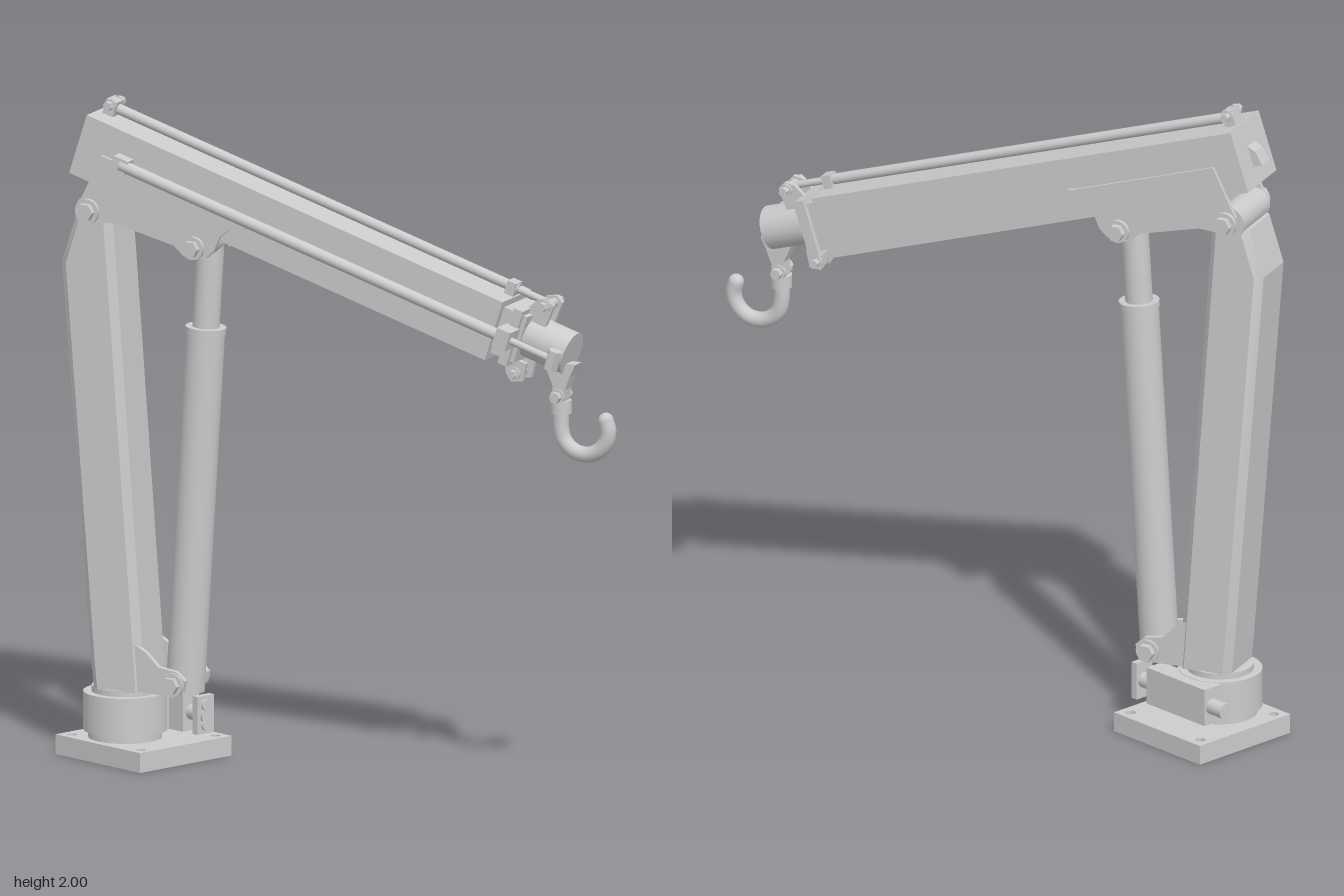
import * as THREE from 'three';
import { toCreasedNormals } from 'three/addons/utils/BufferGeometryUtils.js';

const material = new THREE.MeshStandardMaterial({ color: 0xcccccc });
const V = (x, y, z) => new THREE.Vector3(x, y, z);

function add(parent, name, geometry) {
  const mesh = new THREE.Mesh(geometry, material);
  mesh.name = name;
  parent.add(mesh);
  return mesh;
}

function box(parent, name, w, h, d, x, y, z) {
  return add(parent, name, new THREE.BoxGeometry(w, h, d).translate(x, y, z));
}

// Round or many-sided bar between two points
function bar(parent, name, a, b, radius, sides = 24, endRadius = radius) {
  let geometry = new THREE.CylinderGeometry(endRadius, radius, a.distanceTo(b), sides);
  if (sides < 12) geometry = toCreasedNormals(geometry, 0.5);
  const mesh = add(parent, name, geometry);
  mesh.position.copy(a).add(b).multiplyScalar(0.5);
  mesh.quaternion.setFromUnitVectors(V(0, 1, 0), b.clone().sub(a).normalize());
  return mesh;
}

// Plate with its outline in the (z, y) plane, thickness along x
function plate(parent, name, points, thickness, x) {
  const shape = new THREE.Shape(points.map(([z, y]) => new THREE.Vector2(z, y)));
  const geometry = new THREE.ExtrudeGeometry(shape, { depth: thickness, bevelEnabled: false });
  geometry.translate(0, 0, -thickness / 2).rotateY(-Math.PI / 2).translate(x, 0, 0);
  return add(parent, name, geometry);
}

// Cross pin with hexagonal heads
function pin(parent, name, y, z, half, radius) {
  bar(parent, name, V(-half, y, z), V(half, y, z), radius);
  for (const s of [-1, 1]) {
    bar(parent, name + 'Washer', V(s * (half - 0.012), y, z), V(s * half, y, z), radius * 1.35);
    bar(parent, name + 'Head', V(s * half, y, z), V(s * (half + 0.02), y, z), radius, 6);
  }
}

// Column: chamfered rectangles joined level by level
function columnGeometry() {
  const levels = [[0.215, -0.07, 0.1], [0.3, -0.078, 0.094], [1.5, -0.174, 0.004], [1.645, -0.128, -0.007]];
  const h = 0.092, c = 0.022, n = 8, positions = [], index = [];
  for (const [y, b, f] of levels) {
    for (const [x, z] of [[-h, b + c], [-h, f - c], [c - h, f], [h - c, f],
      [h, f - c], [h, b + c], [h - c, b], [c - h, b]]) positions.push(x, y, z);
  }
  for (let l = 0; l < levels.length - 1; l++) {
    for (let i = 0; i < n; i++) {
      const a = l * n + i, b = l * n + (i + 1) % n;
      index.push(a, b, b + n, a, b + n, a + n);
    }
  }
  const top = (levels.length - 1) * n;
  for (let i = 1; i < n - 1; i++) index.push(0, i + 1, i, top, top + i, top + i + 1);
  const geometry = new THREE.BufferGeometry();
  geometry.setAttribute('position', new THREE.Float32BufferAttribute(positions, 3));
  geometry.setIndex(index);
  return toCreasedNormals(geometry, 0.3);
}

function buildBase(root) {
  const base = new THREE.Group();
  base.name = 'base';
  root.add(base);
  // Square mounting plate with four bolt holes
  const s = 0.185, shape = new THREE.Shape();
  shape.moveTo(-s, -s).lineTo(s, -s).lineTo(s, s).lineTo(-s, s).closePath();
  for (const x of [-0.15, 0.15]) for (const y of [-0.15, 0.15]) {
    shape.holes.push(new THREE.Path().absarc(x, y, 0.015, 0, Math.PI * 2, true));
  }
  const geometry = new THREE.ExtrudeGeometry(shape, { depth: 0.06, bevelEnabled: false });
  add(base, 'mountingPlate', geometry.rotateX(-Math.PI / 2).translate(-0.182, 0, -0.627));
  // Slewing collar with its worm drive
  const ring = (name, y0, y1, r) => bar(base, name, V(-0.235, y0, -0.65), V(-0.235, y1, -0.65), r, 48);
  ring('neck', 0.06, 0.09, 0.11);
  ring('slewingCollar', 0.083, 0.2, 0.125);
  ring('turntable', 0.2, 0.218, 0.1);
  box(base, 'wormHousing', 0.065, 0.115, 0.25, -0.108, 0.141, -0.625);
  box(base, 'wormHousingWeb', 0.1, 0.115, 0.18, -0.17, 0.141, -0.65);
  bar(base, 'wormShaft', V(-0.105, 0.14, -0.81), V(-0.105, 0.14, -0.43), 0.024);
  box(base, 'wormFlange', 0.065, 0.115, 0.022, -0.107, 0.141, -0.447);
  for (const y of [0.11, 0.17]) bar(base, 'flangeBolt', V(-0.107, y, -0.44), V(-0.107, y, -0.428), 0.018);
}

function buildColumn(slew) {
  const column = new THREE.Group();
  column.name = 'column';
  slew.add(column);
  add(column, 'columnBody', columnGeometry());
  // Lugs carrying the foot of the lifting cylinder
  const lug = [[0.03, 0.22], [0.2, 0.215], [0.232, 0.232], [0.238, 0.265], [0.21, 0.29], [0.15, 0.3], [0.11, 0.34], [0.06, 0.37]];
  for (const x of [-0.078, 0.078]) plate(column, 'footLug', lug, 0.018, x);
  pin(column, 'footPin', 0.25, 0.197, 0.095, 0.027);
  bar(column, 'topHingeTube', V(-0.092, 1.665, -0.07), V(0.092, 1.665, -0.07), 0.05);
  pin(column, 'topHingePin', 1.67, -0.068, 0.125, 0.028);
}

function buildLiftingCylinder(slew) {
  const lift = new THREE.Group();
  lift.name = 'liftingCylinder';
  slew.add(lift);
  const foot = V(0, 0.22, 0.198), head = V(0, 1.6, 0.283);
  const at = (t) => foot.clone().lerp(head, t);
  bar(lift, 'barrel', at(0), at(0.8), 0.058, 32);
  bar(lift, 'barrelCap', at(0.79), at(0.804), 0.061, 32);
  bar(lift, 'pistonRod', at(0.8), at(1), 0.041);
  bar(lift, 'rodEye', V(-0.045, 1.6, 0.283), V(0.045, 1.6, 0.283), 0.045);
  pin(lift, 'rodPin', 1.59, 0.28, 0.125, 0.026);
}

function buildBoom(slew) {
  // Cheek plates linking the boom to column and cylinder
  const cheek = [[0.459, 1.676], [0.452, 1.69], [0.43, 1.694], [-0.026, 1.841], [-0.1, 1.69], [-0.098, 1.655], [-0.066, 1.635],
    [0.02, 1.64], [0.214, 1.59], [0.245, 1.562], [0.276, 1.553], [0.32, 1.562], [0.345, 1.585], [0.365, 1.63], [0.395, 1.654], [0.445, 1.66]];
  for (const x of [-0.104, 0.104]) plate(slew, 'cheekPlate', cheek, 0.014, x);

  // Boom frame: z runs along the boom from its back end, y = 0 is its underside
  const boom = new THREE.Group();
  boom.name = 'boom';
  boom.position.set(0, 1.777, -0.137);
  boom.rotation.x = 0.312;
  slew.add(boom);
  box(boom, 'boomBeam', 0.2, 0.19, 1.44, 0, 0.095, 0.72);
  plate(boom, 'backBoss', [[-0.03, 0.055], [0.01, 0.055], [0.01, 0.13], [-0.02, 0.1]], 0.05, 0);
  box(boom, 'boomSleeve', 0.15, 0.15, 0.12, 0, 0.095, 1.46);
  box(boom, 'endFlange', 0.18, 0.18, 0.03, 0, 0.095, 1.492);
  for (const x of [-0.03, 0.03]) {
    plate(boom, 'lowerLug', [[1.47, 0.02], [1.545, 0.02], [1.55, -0.035], [1.515, -0.05], [1.49, -0.03]], 0.016, x);
  }
  pin(boom, 'lowerLugPin', -0.022, 1.52, 0.045, 0.014);

  // Extension ram above the boom
  bar(boom, 'topRam', V(0, 0.212, 0.04), V(0, 0.212, 1.44), 0.016);
  bar(boom, 'topRamRod', V(0, 0.212, 1.44), V(0, 0.212, 1.56), 0.011);
  box(boom, 'topRamBackMount', 0.055, 0.05, 0.035, 0, 0.212, 0.035);
  pin(boom, 'topRamBackPin', 0.222, 0.035, 0.032, 0.014);
  box(boom, 'topRamGland', 0.042, 0.042, 0.03, 0, 0.21, 1.42);
  for (const x of [-0.03, 0.03]) plate(boom, 'topRamFrontMount', [[1.48, 0.15], [1.57, 0.15], [1.575, 0.22], [1.55, 0.235], [1.52, 0.22]], 0.014, x);
  pin(boom, 'topRamFrontPin', 0.212, 1.55, 0.045, 0.014);

  // Second ram along the side of the boom
  bar(boom, 'sideRam', V(-0.128, 0.1, 0.16), V(-0.128, 0.1, 1.5), 0.018);
  bar(boom, 'sideRamRod', V(-0.128, 0.1, 1.5), V(-0.128, 0.1, 1.66), 0.011);
  box(boom, 'sideRamBackMount', 0.05, 0.045, 0.05, -0.115, 0.1, 0.16);
  box(boom, 'sideRamFrontMount', 0.07, 0.06, 0.045, -0.118, 0.1, 1.49);
  bar(boom, 'sideRamLink', V(-0.14, 0.1, 1.655), V(-0.03, 0.1, 1.63), 0.013);
  bar(boom, 'sideRamEye', V(-0.128, 0.07, 1.658), V(-0.128, 0.13, 1.658), 0.022, 6);

  // Round extension head
  bar(boom, 'extensionHead', V(0, 0.095, 1.5), V(0, 0.095, 1.66), 0.066, 32);
}

function buildHook(slew) {
  const hook = new THREE.Group();
  hook.name = 'hook';
  slew.add(hook);
  plate(hook, 'hookHanger', [[1.39, 1.33], [1.495, 1.33], [1.475, 1.29], [1.46, 1.25], [1.455, 1.205], [1.415, 1.205], [1.42, 1.26]], 0.045, 0);
  pin(hook, 'hookPin', 1.228, 1.436, 0.028, 0.017);
  bar(hook, 'swivel', V(0, 1.175, 1.437), V(0, 1.215, 1.437), 0.032);
  // Curved hook: straight shank followed by an arc
  const points = [V(0, 1.2, 1.437), V(0, 1.165, 1.436)];
  for (let i = 0; i <= 8; i++) {
    const a = Math.PI + i * (Math.PI + 0.45) / 8;
    points.push(V(0, 1.132 + 0.076 * Math.sin(a), 1.515 + 0.078 * Math.cos(a)));
  }
  add(hook, 'hookCurve', new THREE.TubeGeometry(new THREE.CatmullRomCurve3(points), 48, 0.024, 16));
  const tip = points[points.length - 1];
  add(hook, 'hookTip', new THREE.SphereGeometry(0.024, 16, 12).translate(tip.x, tip.y, tip.z));
}

export function createModel() {
  const root = new THREE.Group();
  root.name = 'deckCrane';
  buildBase(root);
  // Everything above the turntable is slewed around the collar axis
  const slew = new THREE.Group();
  slew.name = 'slewingAssembly';
  slew.position.set(-0.235, 0, -0.65);
  slew.rotation.y = 0.377;
  root.add(slew);
  for (const build of [buildColumn, buildLiftingCylinder, buildBoom, buildHook]) build(slew);
  return root;
}
